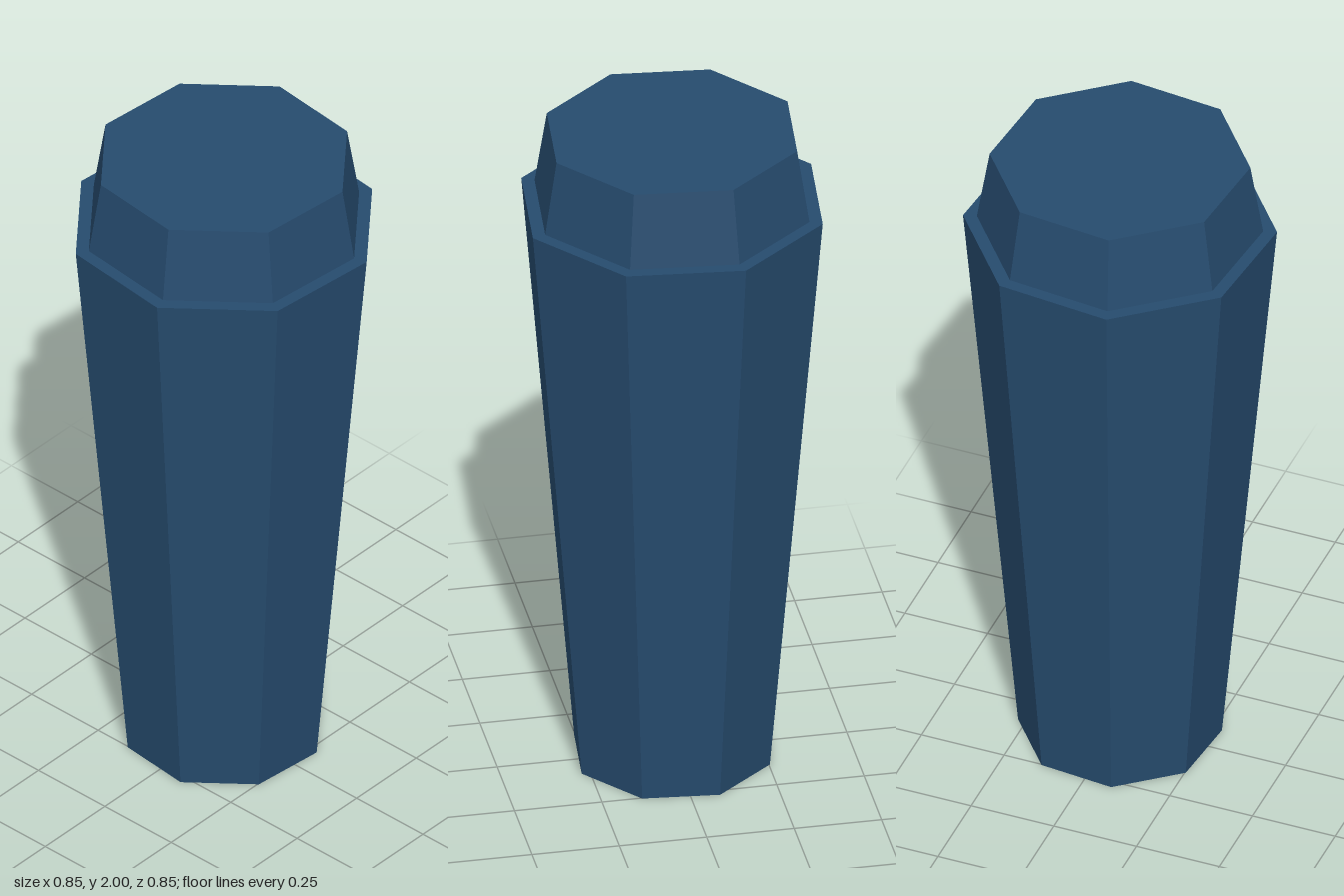
import * as THREE from 'three';

const SIDES = 8;
const TWIST = THREE.MathUtils.degToRad(16.8);

// Tapered octagonal block standing between two heights
function taperedBlock(name, rTop, rBottom, y0, y1, material) {
  const geometry = new THREE.CylinderGeometry(rTop, rBottom, y1 - y0, SIDES, 1, false, TWIST);
  const mesh = new THREE.Mesh(geometry, material);
  mesh.name = name;
  mesh.position.y = (y0 + y1) / 2;
  return mesh;
}

export function createModel() {
  const group = new THREE.Group();
  group.name = 'taperedPost';

  const darkBlue = new THREE.MeshStandardMaterial({ color: 0x264b6e, flatShading: true });
  darkBlue.name = 'dark blue';

  // Long shaft, widening upwards to the shoulder
  group.add(taperedBlock('shaft', 0.442, 0.287, 0, 1.777, darkBlue));
  // Short cap, set in from the shoulder and narrowing upwards
  group.add(taperedBlock('cap', 0.367, 0.403, 1.777, 2, darkBlue));

  return group;
}
